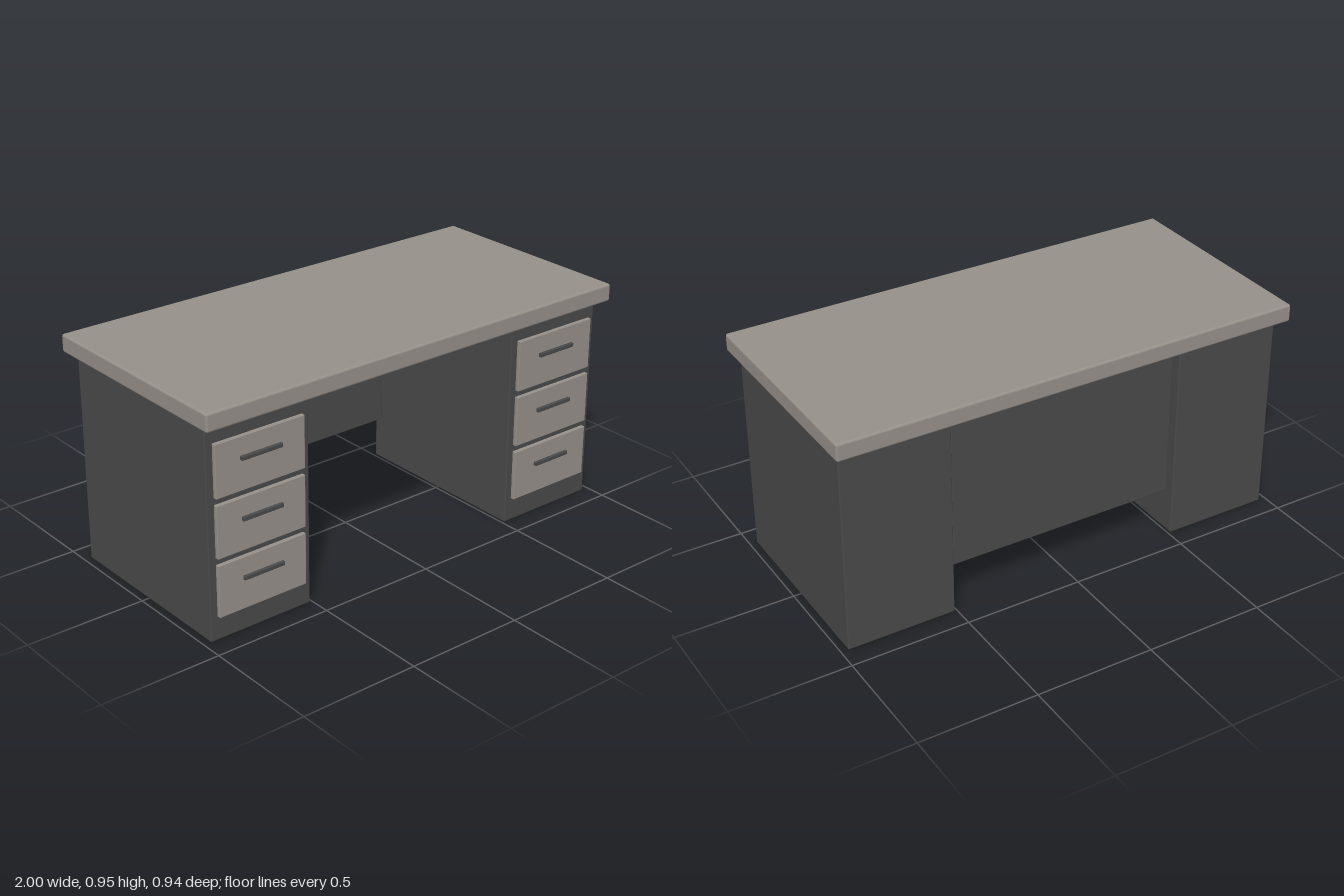
import * as THREE from 'three';
import { RoundedBoxGeometry } from 'three/addons/geometries/RoundedBoxGeometry.js';

export function createModel() {
  const desk = new THREE.Group();
  desk.name = 'desk';

  const stone = new THREE.MeshStandardMaterial({ color: 0x97908a });
  stone.name = 'warm grey';
  const dark = new THREE.MeshStandardMaterial({ color: 0x4a4a4a });
  dark.name = 'charcoal';

  // Softly rounded box placed by its centre
  function box(parent, name, material, size, position, radius) {
    const mesh = new THREE.Mesh(new RoundedBoxGeometry(...size, 2, radius), material);
    mesh.name = name;
    mesh.position.set(...position);
    parent.add(mesh);
  }

  // Worktop
  box(desk, 'worktop', stone, [2, 0.075, 0.944], [0, 0.912, 0], 0.01);

  // Modesty panel, set in slightly from the back
  box(desk, 'modestyPanel', dark, [0.995, 0.63, 0.03], [0, 0.513, -0.37], 0.004);

  // Pedestals, each with three drawers
  for (const side of [-1, 1]) {
    const pedestal = new THREE.Group();
    pedestal.name = side > 0 ? 'leftPedestal' : 'rightPedestal';
    pedestal.position.x = side * 0.74;
    desk.add(pedestal);

    box(pedestal, 'cabinet', dark, [0.46, 0.875, 0.824], [0, 0.4375, 0], 0.005);

    for (let i = 0; i < 3; i++) {
      const y = 0.208 + i * 0.2425;
      box(pedestal, 'drawerFront', stone, [0.4, 0.216, 0.018], [0, y, 0.421], 0.003);
      box(pedestal, 'drawerHandle', dark, [0.184, 0.017, 0.014], [0, y + 0.0245, 0.436], 0.003);
    }
  }

  return desk;
}
